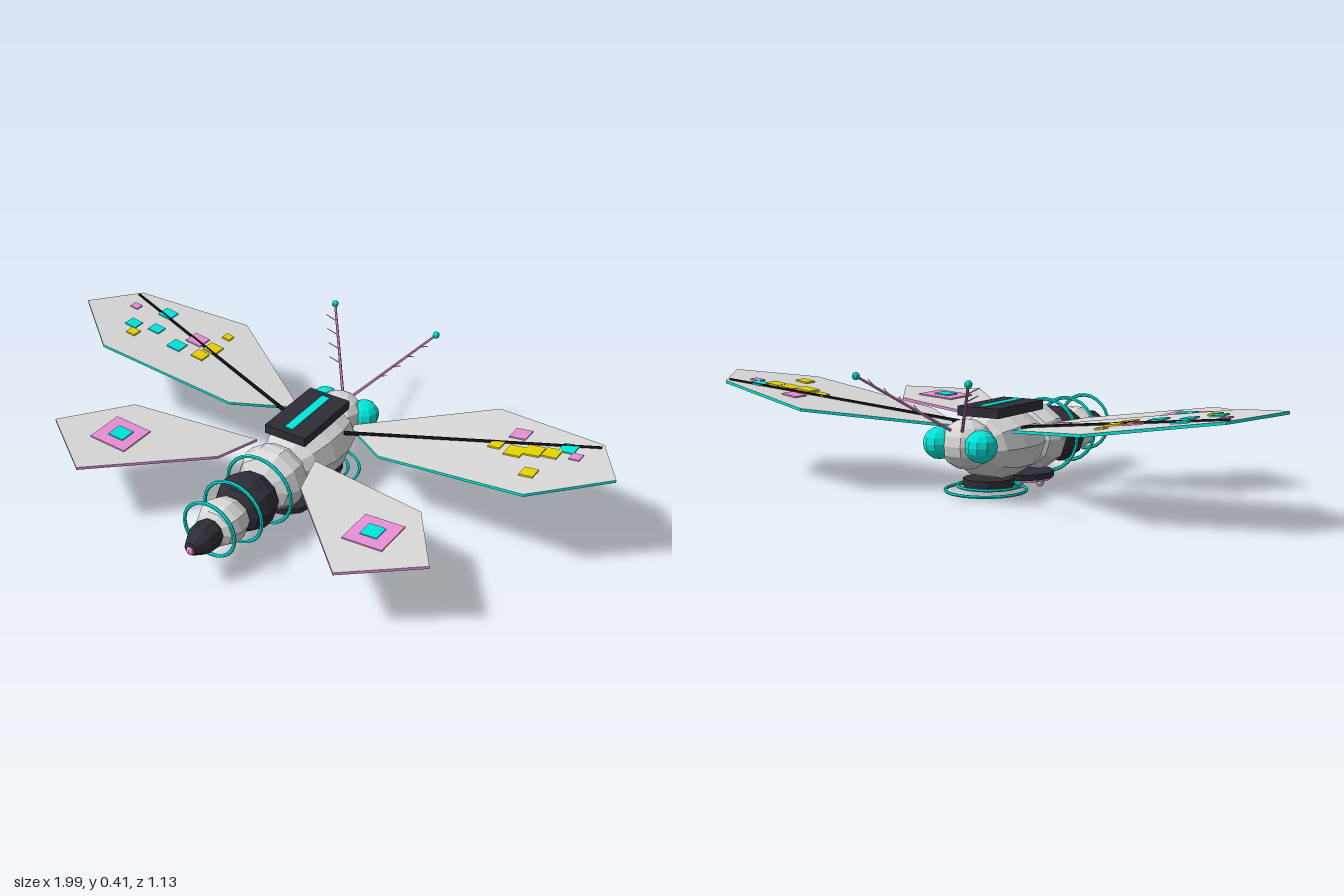
import * as THREE from 'three';

const mat = (name, color) => {
  const m = new THREE.MeshStandardMaterial({ color, flatShading: true });
  m.name = name;
  return m;
};

export function createModel() {
  const M = {
    shell: mat('shell grey', 0xd8d8d8),
    dark: mat('charcoal', 0x2e2d36),
    vein: mat('black', 0x131318),
    cyan: mat('cyan', 0x00e8dc),
    pink: mat('pink', 0xe890d6),
    yellow: mat('yellow', 0xe6d400),
  };
  const root = new THREE.Group();
  root.name = 'insect';

  const add = (name, geo, material, x = 0, y = 0, z = 0) => {
    const mesh = new THREE.Mesh(geo, material);
    mesh.name = name;
    mesh.position.set(x, y, z);
    root.add(mesh);
    return mesh;
  };
  const ball = (name, m, x, y, z, rx, ry, rz, seg = 10, rings = 8) =>
    add(name, new THREE.SphereGeometry(1, seg, rings).scale(rx, ry, rz), m, x, y, z);

  // faceted solid of revolution lying along z; profile pairs are radius, z
  const turned = (profile) =>
    new THREE.LatheGeometry(profile.map(([r, h]) => new THREE.Vector2(r, h)), 10)
      .rotateY(Math.PI / 2).rotateX(Math.PI / 2);

  // rounded body segment with blunt ends
  const barrel = [[0, -1], [0.5, -0.96], [0.82, -0.72], [0.99, -0.25],
    [0.99, 0.25], [0.82, 0.72], [0.5, 0.96], [0, 1]];
  const segment = (name, m, y, z, rx, ry, rz) =>
    add(name, turned(barrel).scale(rx, ry, rz), m, 0, y, z);

  // thin rod between two points
  const rod = (name, a, b, r0, r1, m, sides = 6) => {
    const dir = b.clone().sub(a);
    const mid = a.clone().add(b).multiplyScalar(0.5);
    const mesh = add(name, new THREE.CylinderGeometry(r1, r0, dir.length(), sides), m, mid.x, mid.y, mid.z);
    mesh.quaternion.setFromUnitVectors(new THREE.Vector3(0, 1, 0), dir.normalize());
  };

  // body, head towards -z
  segment('thorax', M.shell, 0.155, -0.092, 0.128, 0.109, 0.157);
  ball('head', M.shell, 0, 0.175, -0.27, 0.085, 0.078, 0.08);
  segment('abdomenFront', M.shell, 0.15, 0.122, 0.114, 0.109, 0.074);
  segment('abdomenMiddle', M.dark, 0.14, 0.265, 0.1, 0.094, 0.077);
  segment('abdomenRear', M.shell, 0.143, 0.39, 0.08, 0.074, 0.066);
  add('tail', turned([[0, -0.07], [0.034, -0.06], [0.05, -0.02], [0.046, 0.025], [0.022, 0.07], [0, 0.075]]),
    M.dark, 0, 0.143, 0.485);
  ball('tailTip', M.pink, 0, 0.138, 0.552, 0.016, 0.016, 0.014, 8, 6);

  // upright hoops around the abdomen
  for (const [z, y, r] of [[0.198, 0.143, 0.119], [0.338, 0.145, 0.106], [0.46, 0.155, 0.092]])
    add('abdomenHoop', new THREE.TorusGeometry(r, 0.006, 6, 24), M.cyan, 0, y, z);

  // back pack with glowing strip
  add('backPack', new THREE.BoxGeometry(0.15, 0.03, 0.265), M.dark, 0, 0.265, -0.078);
  add('backStrip', new THREE.BoxGeometry(0.03, 0.008, 0.22), M.cyan, 0, 0.279, -0.078);

  // underside discs, studs and flat rings
  add('bellyDisc', new THREE.CylinderGeometry(0.105, 0.105, 0.018, 12), M.dark, 0, 0.039, 0.045);
  add('bellyPlate', new THREE.CylinderGeometry(0.1, 0.1, 0.007, 12), M.pink, 0, 0.027, 0.045);
  for (let i = 0; i < 6; i++) {
    const a = (i * Math.PI) / 3;
    ball('bellyStud', M.shell, 0.075 * Math.cos(a), 0.016, 0.036 + 0.075 * Math.sin(a), 0.014, 0.014, 0.014, 8, 6);
  }
  add('chestDisc', new THREE.CylinderGeometry(0.08, 0.08, 0.025, 12), M.dark, 0, 0.041, -0.15);
  for (const [r, y, z] of [[0.127, 0.018, -0.165], [0.097, 0.03, -0.15]])
    add('chestRing', new THREE.TorusGeometry(r, 0.005, 6, 28).rotateX(Math.PI / 2), M.cyan, 0, y, z);

  // wing heights rise linearly away from the body
  const foreY = (x) => 0.206 + 0.14 * (Math.abs(x) - 0.11);
  const hindY = (x) => 0.2 + 0.066 * (Math.abs(x) - 0.11);
  const THICK = 0.009;
  const slope = (geo, rise) => {
    const p = geo.attributes.position;
    for (let i = 0; i < p.count; i++) p.setY(i, p.getY(i) + rise(p.getX(i)));
    geo.computeVertexNormals();
    return geo;
  };
  const wing = (name, pts, s, rise, edge) => {
    const shape = new THREE.Shape(pts.map(([x, z]) => new THREE.Vector2(s * x, -z)));
    const geo = new THREE.ExtrudeGeometry(shape, { depth: THICK, bevelEnabled: false }).rotateX(-Math.PI / 2);
    add(name, slope(geo, rise), [M.shell, edge]);
  };
  // square plate lying on a wing
  const patch = (name, m, x, z, size, rise, lift = 0) =>
    add(name, slope(new THREE.BoxGeometry(size, 0.007, size).translate(x, THICK + 0.001 + lift, z), rise), m);

  const forePts = [[0.11, -0.185], [0.497, -0.453], [0.888, -0.364], [0.997, -0.19],
    [0.786, -0.016], [0.283, -0.043], [0.12, -0.16]];
  const hindPts = [[0.11, 0.05], [0.535, 0.134], [0.684, 0.355], [0.465, 0.512], [0.155, 0.2]];

  for (const s of [1, -1]) {
    wing('foreWing', forePts, s, foreY, M.cyan);
    wing('hindWing', hindPts, s, hindY, M.pink);
    patch('hindWingSquare', M.pink, s * 0.467, 0.294, 0.134, hindY);
    patch('hindWingCentre', M.cyan, s * 0.465, 0.294, 0.056, hindY, 0.004);
    rod('foreWingVein', new THREE.Vector3(s * 0.11, foreY(0.11) + 0.01, -0.125),
      new THREE.Vector3(s * 0.888, foreY(0.888) + 0.01, -0.343), 0.007, 0.005, M.vein);

    // eyes
    ball('eye', M.cyan, s * 0.076, 0.178, -0.307, 0.05, 0.05, 0.05, 10, 8);

    // feathered antennae
    const a = new THREE.Vector3(s * 0.02, 0.222, -0.325);
    const b = new THREE.Vector3(s * 0.197, 0.398, -0.556);
    rod('antenna', a, b, 0.005, 0.004, M.pink);
    ball('antennaTip', M.cyan, b.x, b.y, b.z, 0.012, 0.012, 0.012, 8, 6);
    for (const t of [0.32, 0.48, 0.64, 0.8]) {
      const p = a.clone().lerp(b, t);
      rod('antennaBarb', p, p.clone().add(new THREE.Vector3(s * 0.035, 0.02, 0.012)), 0.002, 0.0015, M.pink, 4);
    }
  }

  // scattered squares on the fore wings: x, z, size
  const spots = {
    cyan: [[0.8, -0.3, 0.05], [-0.738, -0.315, 0.05], [-0.79, -0.187, 0.043],
      [-0.711, -0.214, 0.043], [-0.6, -0.182, 0.05]],
    pink: [[0.63, -0.326, 0.055], [0.84, -0.262, 0.034], [-0.85, -0.278, 0.03], [-0.567, -0.257, 0.058]],
    yellow: [[0.588, -0.24, 0.04], [0.658, -0.225, 0.055], [0.71, -0.247, 0.055], [0.765, -0.255, 0.05],
      [0.749, -0.128, 0.045], [-0.759, -0.144, 0.034], [-0.5, -0.342, 0.03], [-0.497, -0.25, 0.05],
      [-0.508, -0.19, 0.045]],
  };
  for (const [color, list] of Object.entries(spots))
    for (const [x, z, size] of list) patch('foreWingSpot', M[color], x, z, size, foreY, color === 'yellow' ? 0.001 : 0);

  return root;
}
